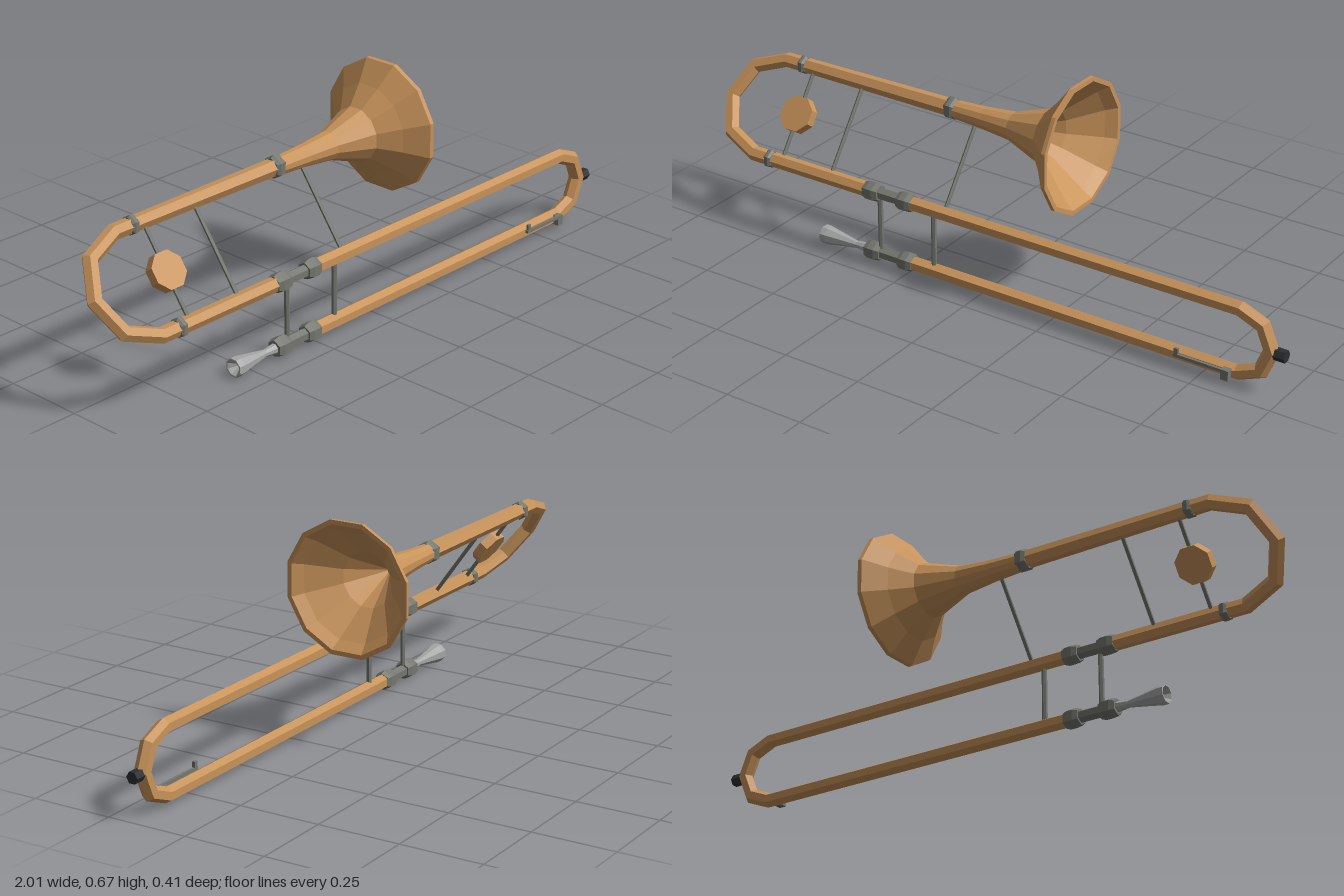
import * as THREE from 'three';

const flat = (name, color) => {
  const m = new THREE.MeshStandardMaterial({ color, flatShading: true });
  m.name = name;
  return m;
};
const V = (x, y, z) => new THREE.Vector3(x, y, z);

export function createModel() {
  const brass = flat('brass', 0xc8935a);
  const nickel = flat('nickel', 0x74776f);
  const silver = flat('silver', 0xa6a6a6);
  const rubber = flat('rubber', 0x2c2e31);
  const group = new THREE.Group();

  const add = (name, geo, mat, x = 0, y = 0, z = 0) => {
    const mesh = new THREE.Mesh(geo, mat);
    mesh.name = name;
    mesh.position.set(x, y, z);
    group.add(mesh);
    return mesh;
  };

  // Turned part along the x axis; profile is [x, radius] pairs
  const turned = (profile, sides) => new THREE.LatheGeometry(
    profile.map(([x, r]) => new THREE.Vector2(r, x)), sides, Math.PI / sides
  ).rotateZ(-Math.PI / 2);

  // Mitred hexagonal pipe along a path lying in the plane with the given normal
  const pipe = (points, normal, radii) => {
    const pos = [], index = [], sides = 6;
    points.forEach((p, i) => {
      const before = points[Math.max(i - 1, 0)], after = points[Math.min(i + 1, points.length - 1)];
      const t0 = p.clone().sub(before).normalize(), t1 = after.clone().sub(p).normalize();
      const tangent = t0.clone().add(t1).normalize();
      const stretch = i > 0 && i < points.length - 1 ? 1 / tangent.dot(t1) : 1;
      const u = normal.clone().cross(tangent).multiplyScalar(stretch);
      for (let k = 0; k < sides; k++) {
        const a = k / sides * Math.PI * 2, r = radii[Math.min(i, radii.length - 1)];
        const q = p.clone().addScaledVector(u, Math.cos(a) * r).addScaledVector(normal, Math.sin(a) * r);
        pos.push(q.x, q.y, q.z);
        if (i < points.length - 1) {
          const j = (k + 1) % sides, A = i * sides, B = A + sides;
          index.push(A + k, A + j, B + j, A + k, B + j, B + k);
        }
      }
    });
    const geo = new THREE.BufferGeometry();
    geo.setAttribute('position', new THREE.Float32BufferAttribute(pos, 3));
    geo.setIndex(index);
    geo.computeVertexNormals();
    return geo;
  };

  // Straight thin brace between two points
  const rod = (name, a, b, r) => {
    const mesh = add(name, new THREE.CylinderGeometry(r, r, a.distanceTo(b), 6), nickel);
    mesh.position.copy(a).lerp(b, 0.5);
    mesh.quaternion.setFromUnitVectors(V(0, 1, 0), b.clone().sub(a).normalize());
  };

  // Three parallel pipe lines
  const R = 0.0228;
  const bellLine = x => V(x, 0.476, -0.009);
  const upperLine = x => V(x, 0.232, 0.168);
  const lowerLine = x => V(x, 0.035, 0.168);

  // Half-circle of path points from one line to the other, bulging along x
  const bend = (from, to, cx, dir) => {
    const a = from(cx), b = to(cx), mid = a.clone().lerp(b, 0.5), arm = a.clone().sub(mid);
    return [0, 1, 2, 3, 4].map(i => {
      const t = i * Math.PI / 4;
      return mid.clone().addScaledVector(arm, Math.cos(t)).add(V(dir * arm.length() * Math.sin(t), 0, 0));
    });
  };

  // Bell section pipe, in the tilted plane
  const tilt = bellLine(0).sub(upperLine(0)).normalize();
  const tiltNormal = V(1, 0, 0).cross(tilt).normalize();
  add('bellPipe', pipe(
    [bellLine(-0.215), ...bend(bellLine, upperLine, -0.83, -1), upperLine(-0.37)],
    tiltNormal, [0.027, R]), brass);

  // Slide pipe, in the vertical plane
  add('slidePipe', pipe(
    [upperLine(-0.27), ...bend(upperLine, lowerLine, 0.855, 1), lowerLine(-0.27)],
    V(0, 0, 1), [R]), brass);

  // Flared bell with rim and hollow inside
  add('bell', turned([
    [-0.215, 0.028], [-0.1, 0.034], [0, 0.044], [0.118, 0.084], [0.172, 0.14],
    [0.222, 0.203], [0.235, 0.204], [0.235, 0.19], [0.205, 0.166], [0.125, 0.082], [0, 0]
  ], 12), brass, 0, 0.475, -0.008);

  // Ferrules
  const ferrule = (p, half, r) => add('ferrule', turned(
    [[-half, 0], [-half, r * 0.8], [-half * 0.4, r], [half * 0.4, r], [half, r * 0.8], [half, 0]], 6
  ), nickel, p.x, p.y, p.z);
  ferrule(bellLine(-0.765), 0.012, 0.03);
  ferrule(upperLine(-0.765), 0.012, 0.03);
  ferrule(bellLine(-0.215), 0.018, 0.036);
  for (const line of [upperLine, lowerLine]) {
    ferrule(line(-0.38), 0.027, 0.031);
    ferrule(line(-0.26), 0.025, 0.031);
    const p = line(-0.32);
    add('slideReceiver', turned([[-0.06, 0.019], [0.06, 0.019]], 6), nickel, p.x, p.y, p.z);
  }

  // Braces
  rod('slideBrace', upperLine(-0.355), lowerLine(-0.355), 0.008);
  rod('slideBrace', upperLine(-0.162), lowerLine(-0.162), 0.008);
  for (const x of [-0.725, -0.54, -0.125]) rod('bellBrace', bellLine(x), upperLine(x), 0.006);

  // Counterweight disc facing out of the tilted plane
  const disc = add('counterweight',
    new THREE.CylinderGeometry(0.057, 0.057, 0.03, 8, 1, false, Math.PI / 8), brass);
  disc.position.copy(bellLine(-0.725)).lerp(upperLine(-0.725), 0.5);
  disc.quaternion.setFromUnitVectors(V(0, 1, 0), tiltNormal.z > 0 ? tiltNormal : tiltNormal.clone().negate());

  // Mouthpiece with hollow cup
  add('mouthpiece', turned([
    [-0.535, 0], [-0.568, 0.024], [-0.568, 0.029], [-0.55, 0.029],
    [-0.5, 0.02], [-0.445, 0.011], [-0.39, 0.018]
  ], 8), silver, 0, 0.035, 0.168);

  // Bumper at the slide end
  add('bumper', new THREE.CylinderGeometry(0.0185, 0.0185, 0.04, 6).rotateZ(-Math.PI / 2),
    rubber, 0.98, 0.131, 0.168);

  // Water key: lever, thumb tab and mount
  add('waterKeyLever', new THREE.BoxGeometry(0.17, 0.009, 0.009), nickel, 0.755, 0.046, 0.201);
  add('waterKeyTab', new THREE.BoxGeometry(0.012, 0.026, 0.009), nickel, 0.679, 0.055, 0.201);
  add('waterKeyMount', new THREE.BoxGeometry(0.024, 0.03, 0.034), nickel, 0.832, 0.034, 0.188);

  return group;
}
